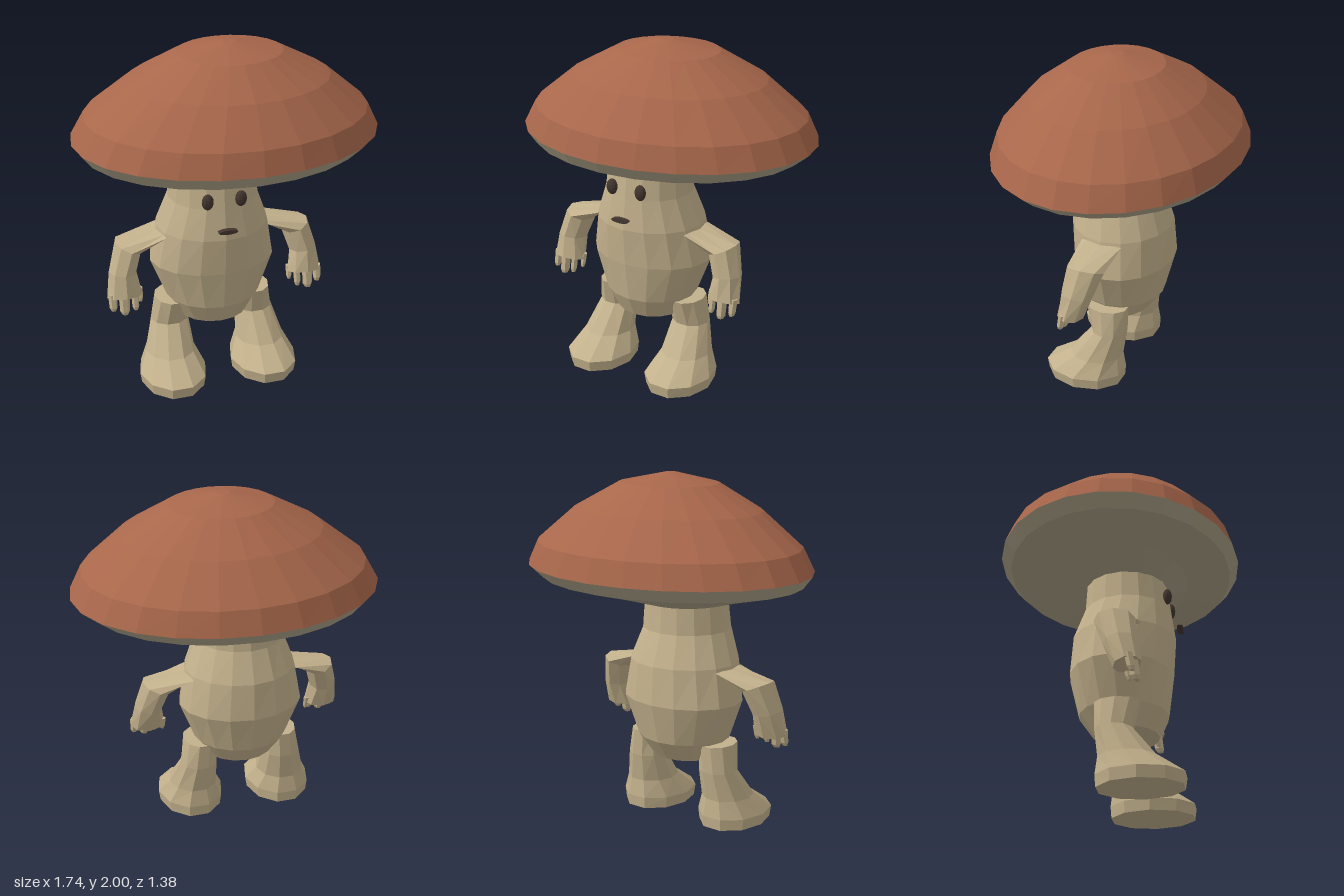
import * as THREE from 'three';

const flat = (name, color) => {
  const m = new THREE.MeshStandardMaterial({ color, flatShading: true });
  m.name = name;
  return m;
};

// Body axis lies slightly to the side of the cap's centre
const AXIS = -0.095;

// Skin through elliptical rings { c: centre, a, b: half axes }, closed at both ends.
// side = -1 mirrors the part in x.
function loft(rings, n, side = 1, capStart = true, capEnd = true) {
  const pos = [];
  const point = ({ c, a, b }, i) => {
    const t = (i / n) * Math.PI * 2, p = [0, 1, 2].map(k => c[k] + Math.cos(t) * a[k] + Math.sin(t) * b[k]);
    p[0] *= side;
    return p;
  };
  const tri = (p, q, r) => (side > 0 ? pos.push(...p, ...q, ...r) : pos.push(...p, ...r, ...q));
  const first = rings[0], last = rings[rings.length - 1];
  const mid = r => [r.c[0] * side, r.c[1], r.c[2]];
  for (let i = 0; i < n; i++) {
    for (let j = 0; j < rings.length - 1; j++) {
      const p = point(rings[j], i), q = point(rings[j], i + 1);
      const r = point(rings[j + 1], i), s = point(rings[j + 1], i + 1);
      tri(p, r, q);
      tri(q, r, s);
    }
    if (capStart) tri(mid(first), point(first, i), point(first, i + 1));
    if (capEnd) tri(mid(last), point(last, i + 1), point(last, i));
  }
  const g = new THREE.BufferGeometry();
  g.setAttribute('position', new THREE.Float32BufferAttribute(pos, 3));
  g.computeVertexNormals();
  return g;
}

// Level ring from its extents: height, x range, z range
const level = (y, x0, x1, z0, z1) => ({
  c: [(x0 + x1) / 2, y, (z0 + z1) / 2], a: [(x1 - x0) / 2, 0, 0], b: [0, 0, (z1 - z0) / 2],
});

export function createModel() {
  const root = new THREE.Group();
  root.name = 'mushroomCreature';
  const capRed = flat('capRed', 0xa8674b);
  const gillGrey = flat('gillGrey', 0xaaa086);
  const stalkTan = flat('stalkTan', 0xc3b18c);
  const darkBrown = flat('darkBrown', 0x43362f);

  const add = (parent, name, geo, mat) => {
    const m = new THREE.Mesh(geo, mat);
    m.name = name;
    parent.add(m);
    return m;
  };

  // Cap and its underside
  add(root, 'cap', loft([
    level(1.48, -0.87, 0.87, -0.69, 0.695),
    level(1.61, -0.795, 0.805, -0.645, 0.655),
    level(1.80, -0.55, 0.58, -0.45, 0.49),
    level(1.945, -0.28, 0.31, -0.23, 0.29),
    level(2.0, -0.035, 0.045, 0, 0.07),
  ], 24, 1, false, true), capRed);
  add(root, 'gills', loft([
    level(1.28, -0.335, 0.155, -0.18, 0.285),
    level(1.35, -0.57, 0.455, -0.41, 0.40),
    level(1.41, -0.815, 0.785, -0.63, 0.645),
    level(1.48, -0.87, 0.87, -0.69, 0.695),
  ], 24, 1, true, false), gillGrey);

  const figure = new THREE.Group();
  figure.name = 'figure';
  figure.position.x = AXIS;
  root.add(figure);

  // Stalk body
  add(figure, 'body', loft([
    level(0.38, -0.20, 0.20, -0.13, 0.23),
    level(0.50, -0.275, 0.275, -0.215, 0.285),
    level(0.73, -0.365, 0.365, -0.27, 0.315),
    level(0.95, -0.325, 0.325, -0.255, 0.33),
    level(1.13, -0.258, 0.258, -0.19, 0.305),
    level(1.29, -0.245, 0.245, -0.18, 0.285),
  ], 16), stalkTan);

  // Mouth
  const mouth = add(figure, 'mouth', new THREE.CylinderGeometry(1, 1, 1, 12).rotateX(Math.PI / 2), darkBrown);
  mouth.scale.set(0.055, 0.013, 0.03);
  mouth.position.set(0.002, 1.02, 0.355);

  for (const side of [1, -1]) {
    const label = side > 0 ? 'left' : 'right';

    // Eye
    const eye = add(figure, label + 'Eye', new THREE.SphereGeometry(1, 12, 8), darkBrown);
    eye.scale.set(0.034, 0.046, 0.026);
    eye.position.set(side * 0.095, 1.182, 0.294);

    // Leg and foot
    add(figure, label + 'Leg', loft([
      level(0, 0.09, 0.465, -0.08, 0.395),
      level(0.065, 0.08, 0.475, -0.085, 0.405),
      level(0.17, 0.13, 0.42, -0.07, 0.25),
      level(0.335, 0.145, 0.37, -0.09, 0.12),
      level(0.49, 0.145, 0.345, -0.095, 0.16),
    ], 10, side), stalkTan);

    // Arm, thin at the shoulder
    add(figure, label + 'Arm', loft([
      { c: [0.30, 0.928, 0.043], a: [0, 0.008, 0], b: [0, 0, -0.123] },
      { c: [0.497, 0.86, 0.053], a: [0.076, 0.032, 0], b: [0, 0, -0.112] },
      { c: [0.54, 0.715, 0.088], a: [0.08, 0.01, 0], b: [0, -0.01, -0.092] },
      { c: [0.54, 0.58, 0.125], a: [0.102, 0, 0], b: [0, -0.015, -0.075] },
    ], 8, side), stalkTan);

    // Fingers: x, tip height, z, radius
    [[0.45, 0.53, 0.12, 0.018], [0.487, 0.505, 0.165, 0.022],
     [0.55, 0.487, 0.168, 0.032], [0.613, 0.513, 0.155, 0.026]].forEach(([x, y, z, r], i) => {
      const ring = (h, k, dz) => level(h, x - r * k, x + r * k, z + dz - r * k, z + dz + r * k);
      add(figure, label + 'Finger' + (i + 1), loft([
        ring(y, 0.55, 0.005), ring(y + 0.02, 0.9, 0), ring(0.61, 1, -0.015),
      ], 6, side), stalkTan);
    });
  }
  return root;
}
